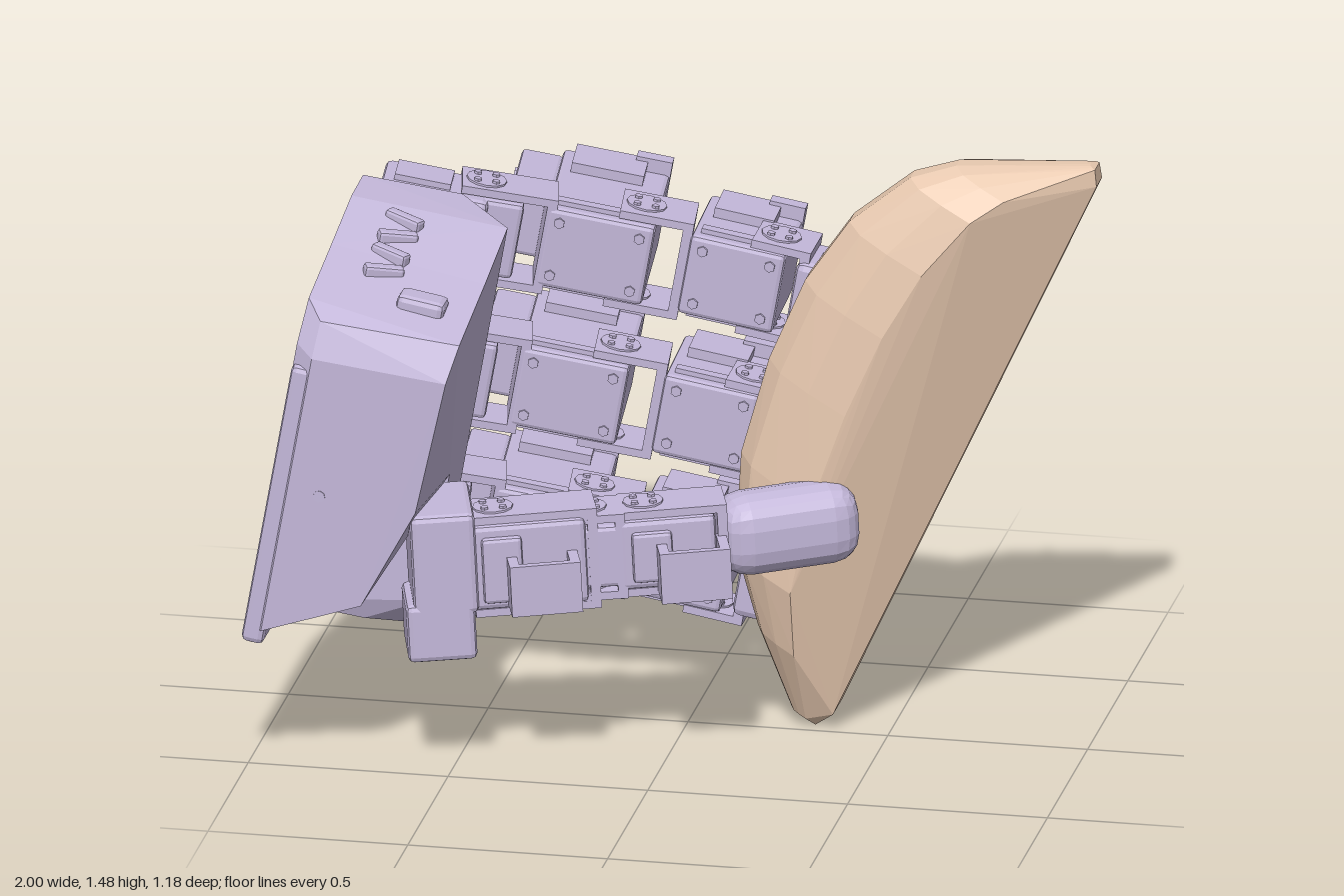
import * as THREE from 'three';
import { RoundedBoxGeometry } from 'three/addons/geometries/RoundedBoxGeometry.js';
import { ConvexGeometry } from 'three/addons/geometries/ConvexGeometry.js';

const lilac = new THREE.MeshStandardMaterial({ color: 0xc4b8da, flatShading: true });
const tan = new THREE.MeshStandardMaterial({ color: 0xe8c9b0, flatShading: true });

function add(parent, name, geometry, x = 0, y = 0, z = 0, material = lilac) {
  const mesh = new THREE.Mesh(geometry, material);
  mesh.name = name;
  mesh.position.set(x, y, z);
  parent.add(mesh);
  return mesh;
}

function group(parent, name, x = 0, y = 0, z = 0, turn = 0) {
  const g = new THREE.Group();
  g.name = name;
  g.position.set(x, y, z);
  g.rotation.y = turn;
  parent.add(g);
  return g;
}

// Boxes given by their limits: [x0, x1], [y0, y1], [z0, z1]
function box(parent, name, [x0, x1], [y0, y1], [z0, z1], chamfer = 0) {
  const s = [x1 - x0, y1 - y0, z1 - z0];
  const geo = chamfer ? new RoundedBoxGeometry(...s, 1, chamfer) : new THREE.BoxGeometry(...s);
  return add(parent, name, geo, (x0 + x1) / 2, (y0 + y1) / 2, (z0 + z1) / 2);
}

const hull = (pts) => new ConvexGeometry(pts.map((p) => new THREE.Vector3(...p)));

// U-shaped hinge bracket: two cheeks with horn discs and screws, and an end plate
function bracket(parent, length, half, depth) {
  const g = group(parent, 'hingeBracket');
  for (const s of [-1, 1]) {
    const y = s * half;
    box(g, 'cheek', [-0.06, length], [y - 0.01, y + 0.01], [-depth / 2, depth / 2]);
    add(g, 'hornDisc', new THREE.CylinderGeometry(0.05, 0.05, 0.03, 12), 0, y, 0);
    for (let i = 0; i < 4; i++) {
      const a = (i + 0.5) * Math.PI / 2;
      add(g, 'screw', new THREE.CylinderGeometry(0.01, 0.01, 0.042, 6),
        0.032 * Math.cos(a), y, 0.032 * Math.sin(a));
    }
  }
  box(g, 'endPlate', [length - 0.025, length], [-half, half], [-depth / 2, depth / 2]);
}

// Servo body running along z from front to back, with end cap, ribs and screw bosses
function motor(parent, w, h, front, back) {
  const g = group(parent, 'motor');
  box(g, 'motorBody', [-w / 2, w / 2], [-h / 2, h / 2], [back, front], 0.012);
  box(g, 'motorLip', [-w / 2 + 0.03, w / 2 - 0.06], [h / 2 - 0.01, h / 2 + 0.025], [back + 0.02, back + 0.15]);
  box(g, 'cableGuide', [w / 2 - 0.09, w / 2], [h / 2 - 0.01, h / 2 + 0.035], [back + 0.01, back + 0.05]);
  for (const s of [-1, 1]) {
    box(g, 'sideRib', [-w / 2 + 0.02, w / 2 - 0.02], [s * h / 2 - 0.012, s * h / 2 + 0.012], [front - 0.06, front - 0.03]);
    for (const t of [-1, 1])
      add(g, 'screwBoss', new THREE.CylinderGeometry(0.014, 0.014, 0.012, 6),
        s * (w / 2 - 0.035), t * (h / 2 - 0.035), front).rotation.x = Math.PI / 2;
  }
}

function finger(parent, y) {
  const g = group(parent, 'finger', 0, y, 0);

  // Knuckle fixed to the back of the palm
  const knuckle = group(g, 'knuckle', -0.86, 0, -0.165, 0.1);
  box(knuckle, 'knuckleBlock', [-0.15, 0.12], [-0.1, 0.1], [-0.095, 0.08], 0.015);
  box(knuckle, 'knuckleCap', [-0.12, 0.02], [-0.115, 0.115], [-0.06, 0.04]);
  const j1 = group(g, 'baseJoint', -0.76, 0, -0.19, 0.2);
  bracket(j1, 0.18, 0.115, 0.13);
  box(j1, 'jointCore', [-0.06, 0.1], [-0.1, 0.1], [-0.08, 0.07], 0.012);

  // Large inner motor with a ribbed flange towards the palm
  const inner = group(g, 'innerSegment', -0.465, 0, -0.22, 0.1);
  motor(inner, 0.27, 0.21, 0.05, -0.36);
  box(inner, 'motorFlange', [-0.235, -0.13], [-0.09, 0.09], [-0.35, -0.09], 0.012);
  for (const z of [-0.28, -0.16])
    for (const s of [-1, 1])
      add(inner, 'flangeScrew', new THREE.CylinderGeometry(0.016, 0.016, 0.014, 8), -0.235, s * 0.045, z).rotation.z = Math.PI / 2;
  const j2 = group(g, 'middleJoint', -0.37, 0, -0.27, 0.12);
  bracket(j2, 0.125, 0.118, 0.15);

  // Smaller outer motor
  const outer = group(g, 'outerSegment', -0.12, 0, -0.25, 0.03);
  motor(outer, 0.24, 0.21, 0.05, -0.25);
  const j3 = group(g, 'outerJoint', -0.03, 0, -0.285);
  bracket(j3, 0.09, 0.115, 0.15);

  // Padded fingertip
  box(g, 'tipSocket', [0.03, 0.12], [-0.1, 0.1], [-0.365, -0.195], 0.02);
  add(g, 'fingertip', new RoundedBoxGeometry(0.28, 0.225, 0.175, 2, 0.065), 0.19, 0, -0.275);
}

function thumb(parent) {
  const g = group(parent, 'thumb', -0.48, 0.53, 0.415);
  g.rotation.set(0, 0.26, 0.05);

  box(g, 'thumbMount', [-0.13, 0.03], [-0.11, 0.15], [-0.16, 0.1], 0.015);
  box(g, 'thumbBaseMotor', [-0.15, 0.02], [-0.23, -0.08], [-0.1, 0.1], 0.015);
  const links = [[0.08, 0, 0.13, 0.27], [0.45, -0.02, 0.11, 0.22]];
  for (const [x, z, half, w] of links) {
    const seg = group(g, 'thumbSegment', x, 0, z, 0.04);
    box(seg, 'thumbMotor', [-0.07, w - 0.05], [-half + 0.02, half - 0.02], [-0.08, 0.08], 0.014);
    bracket(seg, w - 0.02, half - 0.01, 0.14);
    box(seg, 'frontCover', [-0.04, 0.06], [-half + 0.04, half - 0.05], [0.07, 0.095], 0.01);
    // Open cable loop on the outside of the segment
    for (const px of [0.02, 0.17])
      box(seg, 'loopPost', [px, px + 0.025], [-0.1, 0.03], [0.05, 0.165]);
    box(seg, 'loopBar', [0.02, 0.195], [-0.1, 0.03], [0.15, 0.17]);
  }
  const link = group(g, 'thumbMiddleJoint', 0.31, 0, -0.01);
  bracket(link, 0.09, 0.1, 0.14);
  box(link, 'jointCore', [-0.06, 0.08], [-0.08, 0.08], [-0.07, 0.07], 0.012);

  const tip = group(g, 'thumbTip', 0.8, 0, -0.075, 0.22);
  add(tip, 'thumbPad', new RoundedBoxGeometry(0.36, 0.205, 0.18, 2, 0.075));
}

function palm(parent) {
  const g = group(parent, 'palm');
  // Rear half of the shell, reaching the full height
  add(g, 'palmBack', hull([
    [-1.047, 0.16, -0.07], [-1.047, 1.17, -0.07], [-1.047, 1.166, 0.07], [-1.047, 1.11, 0.27],
    [-1.047, 0.16, 0.27], [-0.655, 0.2, 0.04], [-0.655, 0.2, 0.22], [-0.655, 0.16, 0.07], [-0.655, 0.16, 0.19],
    [-0.655, 0.25, 0.27], [-0.655, 1.1, 0.27], [-0.655, 1.17, 0.05], [-0.8, 0.16, 0.25],
    [-0.8, 0.16, -0.1], [-0.8, 1.17, -0.1],
  ]));
  // Front half, cut away at the bottom above the thumb mount
  add(g, 'palmFront', hull([
    [-1.047, 1.11, 0.27], [-1.047, 1.05, 0.5], [-1.047, 0.95, 0.56], [-1, 0.93, 0.592], [-1, 1.02, 0.56],
    [-1.047, 0.2, 0.27], [-1.047, 0.2, 0.56], [-1, 0.2, 0.592], [-0.77, 0.32, 0.58], [-0.77, 0.32, 0.27],
    [-0.655, 0.59, 0.27], [-0.68, 0.59, 0.575], [-0.665, 0.94, 0.575], [-0.655, 1.03, 0.53], [-0.655, 1.1, 0.27],
  ]));
  box(g, 'palmSidePlate', [-1.047, -0.99], [0.16, 0.9], [0.2, 0.59], 0.015);
  box(g, 'backRail', [-1.04, -0.78], [0.2, 1.14], [-0.11, -0.06]);
  // Raised cable clips following the sloping top
  for (let i = 0; i < 4; i++) {
    const z = 0.1 + i * 0.07;
    const clip = box(g, 'cableClip', [-0.95, -0.85], [1.13 - i * 0.02, 1.17 - i * 0.02], [z, z + 0.035], 0.008);
    clip.rotation.y = i % 2 ? 0.4 : -0.4;
  }
  box(g, 'topSwitch', [-0.84, -0.72], [1.02, 1.09], [0.37, 0.45], 0.015);
  add(g, 'sideScrew', new THREE.CylinderGeometry(0.015, 0.015, 0.02, 8), -0.92, 0.58, 0.58).rotation.x = Math.PI / 2;
}

// Half-moon slab: curved rim on one side, narrow straight edge on the other
function slab(parent) {
  const rim = [[0.36, 0.03, 0.3], [0.29, 0, 0.12], [0.25, 0.03, 0.25], [0.17, 0.25, 0.7], [0.115, 0.45, 0.95],
    [0.13, 0.7, 1], [0.2, 0.95, 1], [0.29, 1.16, 0.98], [0.4, 1.32, 0.9], [0.55, 1.44, 0.78],
    [0.66, 1.47, 0.65], [0.98, 1.47, 0.2]];
  const layers = [[1, 0.03, -0.04], [0.92, 0.085, -0.1], [0.76, 0.12, -0.13], [0.56, 0.145, -0.145]];
  const a = [0.36, 0.03], d = [0.64, 1.39], dd = d[0] ** 2 + d[1] ** 2;
  const pts = [[1, 1.42, -0.18], [1, 1.42, -0.11], [0.36, 0.03, -0.13], [0.36, 0.03, -0.035]];
  for (const [x, y, thick] of rim) {
    // Each rim point is drawn in towards the straight edge, layer by layer
    const u = ((x - a[0]) * d[0] + (y - a[1]) * d[1]) / dd;
    const fx = a[0] + u * d[0], fy = a[1] + u * d[1];
    const mid = -0.045 - 0.2 * Math.max(0, x - 0.5) - 0.06 * Math.max(0, 0.25 - y);
    for (const [t, zf, zb] of layers) {
      const px = fx + (x - fx) * t, py = fy + (y - fy) * t;
      pts.push([px, py, mid + zf * thick], [px, py, Math.max(-0.19, mid + zb * thick)]);
    }
  }
  add(parent, 'halfMoonSlab', hull(pts), 0, 0, 0, tan);
}

export function createModel() {
  const model = new THREE.Group();
  model.name = 'gripperHoldingSlab';
  const hand = group(model, 'hand');
  hand.rotation.z = -0.175;
  palm(hand);
  for (const y of [0.31, 0.685, 1.06]) finger(hand, y);
  thumb(model);
  slab(model);
  return model;
}
